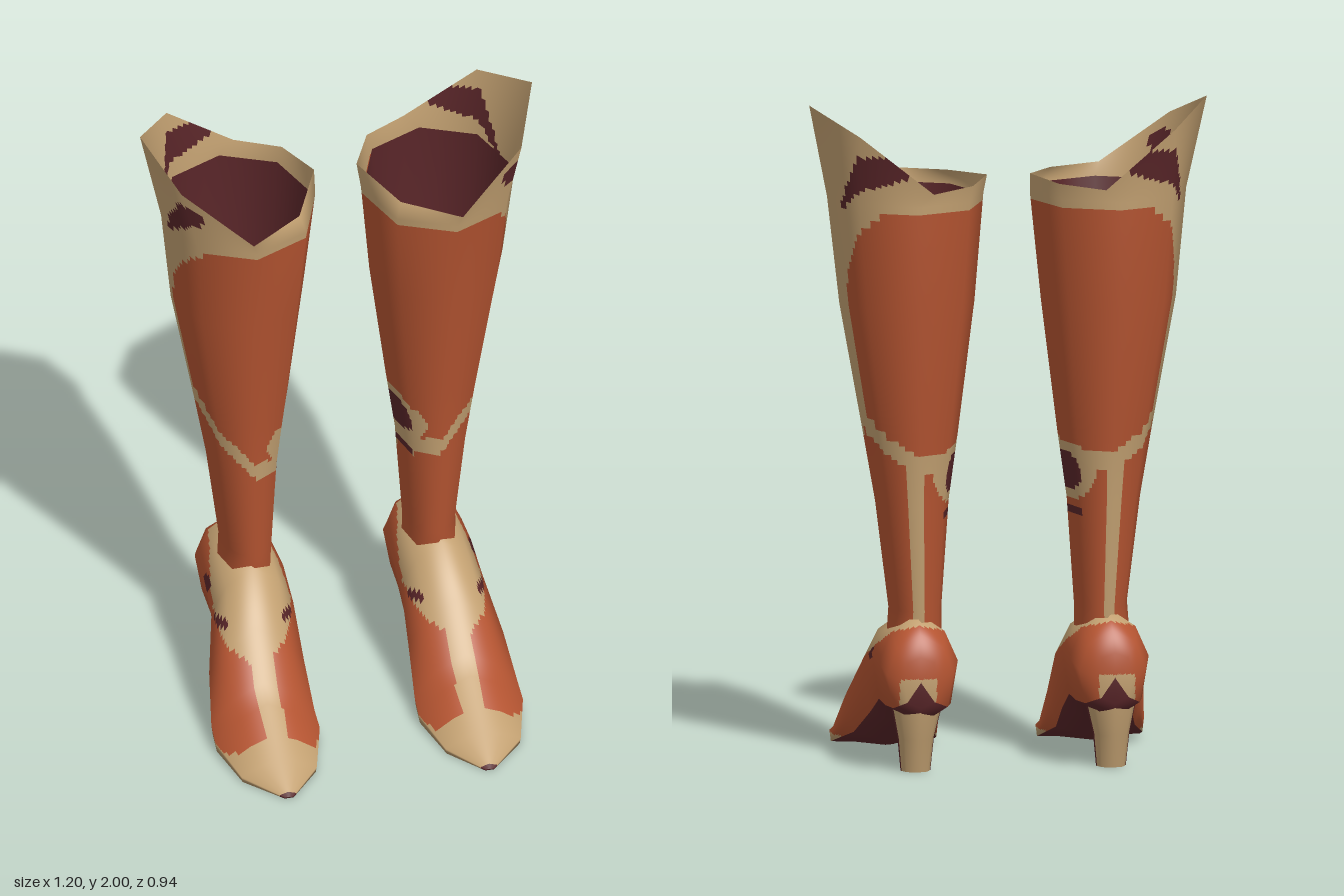
import * as THREE from 'three';

const leather = new THREE.MeshStandardMaterial({ color: 0xb45431, side: THREE.DoubleSide });
const trim = new THREE.MeshStandardMaterial({ color: 0xc2a071, side: THREE.DoubleSide });
const lining = new THREE.MeshStandardMaterial({ color: 0x582528, side: THREE.DoubleSide });
leather.name = 'leather'; trim.name = 'trim'; lining.name = 'lining';
const MATS = [leather, trim, lining];
const LEATHER = 0, TRIM = 1, DARK = 2;
const V = (x, y, z) => new THREE.Vector3(x, y, z);

// Octagonal ring around the y axis: outer side first, then front, inner side, back
function ring(y, x0, x1, z0, z1) {
  return Array.from({ length: 8 }, (_, k) => {
    const a = k * Math.PI / 4;
    return V((x0 + x1) / 2 + (x1 - x0) / 2 * Math.cos(a), y, (z0 + z1) / 2 + (z1 - z0) / 2 * Math.sin(a));
  });
}

function shrink(pts, s, y = null) {
  const c = pts.reduce((m, p) => m.addScaledVector(p, 1 / pts.length), V(0, 0, 0));
  return pts.map(p => {
    const q = p.clone().sub(c).multiplyScalar(s).add(c);
    if (y !== null) q.y = y;
    return q;
  });
}

// Lofts closed rings with smooth normals; paint(p, u) picks a colour for each small cell
function skin(name, rings, side, paint, nu, nv, flip = 1) {
  const R = rings.length, K = rings[0].length;
  const at = (r, k) => rings[Math.min(R - 1, Math.max(0, r))][(k + K) % K];
  const normals = rings.map((row, r) => row.map((_, k) => {
    const du = at(r, k + 1).clone().sub(at(r, k - 1));
    const dv = at(r + 1, k).clone().sub(at(r - 1, k));
    return dv.cross(du).normalize().multiplyScalar(flip);
  }));
  const W = K * nu, H = (R - 1) * nv, grid = [], pos = [], nor = [];
  const mix = (tab, r, k, s, t) => {
    const k2 = (k + 1) % K, r2 = Math.min(r + 1, R - 1);
    return tab[r][k].clone().lerp(tab[r][k2], s).lerp(tab[r2][k].clone().lerp(tab[r2][k2], s), t);
  };
  for (let j = 0; j <= H; j++) for (let i = 0; i <= W; i++) {
    const r = Math.floor(j / nv), k = Math.floor(i / nu) % K, s = (i % nu) / nu, t = (j % nv) / nv;
    const p = mix(rings, r, k, s, t), n = mix(normals, r, k, s, t).normalize();
    grid.push(p);
    pos.push(p.x * side, p.y, p.z);
    nor.push(n.x * side, n.y, n.z);
  }
  const lists = [[], [], []];
  for (let j = 0; j < H; j++) for (let i = 0; i < W; i++) {
    const a = j * (W + 1) + i, b = a + 1, c = a + W + 1, d = c + 1;
    const mid = grid[a].clone().add(grid[d]).multiplyScalar(0.5);
    const out = lists[paint(mid, (i + 0.5) / nu, (j + 0.5) / nv)];
    if (side * flip > 0) out.push(a, c, b, b, c, d);
    else out.push(a, b, c, b, d, c);
  }
  const g = new THREE.BufferGeometry();
  g.setAttribute('position', new THREE.Float32BufferAttribute(pos, 3));
  g.setAttribute('normal', new THREE.Float32BufferAttribute(nor, 3));
  g.setIndex(lists.flat());
  let start = 0;
  lists.forEach((l, m) => { if (l.length) g.addGroup(start, l.length, m); start += l.length; });
  const mesh = new THREE.Mesh(g, MATS);
  mesh.name = name;
  return mesh;
}

// Height of the trim strap around the calf, by angle (0 outer, 90 front, -90 back)
const STRAP = [[-180, 0.95], [-90, 0.92], [-5, 1.05], [40, 0.94], [90, 0.82], [180, 0.77]];
function strapHeight(a) {
  for (let i = 1; i < STRAP.length; i++) if (a <= STRAP[i][0]) {
    const [a0, y0] = STRAP[i - 1], [a1, y1] = STRAP[i];
    return y0 + (y1 - y0) * (a - a0) / (a1 - a0);
  }
  return STRAP[0][1];
}

function paintShaft(p, u) {
  let a = u * 45;
  if (a > 180) a -= 360;
  const y = p.y;
  // Two slanted drops on the cuff
  const d = Math.abs(p.z + 0.235), t = Math.min(1, Math.max(0, ((d - 0.065) * 0.125 + (y - 1.71) * 0.12) / 0.03));
  if (Math.abs(a) < 75 && Math.hypot(d - 0.065 - 0.125 * t, y - 1.71 - 0.12 * t) < 0.012 + 0.028 * t) return DARK;
  if (y > 1.705) return TRIM;
  // Outer seam widening to the cuff
  const f = Math.max(0, (y - 1.42) / 0.28);
  if (y > 1.03 && Math.abs(a + 5) < 10 + 48 * f * f) return TRIM;
  // Inner patch with its border
  const e = Math.hypot((180 - Math.abs(a)) / 46, (y - 0.885) / 0.062);
  if (e < 1) return DARK;
  if (e < 1.45) return TRIM;
  if (Math.abs(a) > 140 && y > 0.755 && y < 0.785) return DARK;
  if (Math.abs(y - strapHeight(a)) < 0.03) return TRIM;
  if (y < 0.92 && Math.abs(a + 86) < 13) return TRIM;
  return LEATHER;
}

function paintFoot(p, u) {
  const { y, z } = p, off = Math.abs(p.x - 0.3);
  if (u > 1 && u < 3) return DARK;
  if (z > 0.452) return DARK;
  // Specks on the ankle edge
  if (u > 4.3 || u < 0.3) {
    if (Math.hypot((z + 0.04) / 0.035, (y - 0.3) / 0.014) < 1) return DARK;
    if (Math.hypot((z + 0.19) / 0.035, (y - 0.335) / 0.018) < 1) return DARK;
  }
  if (y > 0.27 - 0.45 * z && z < 0.12) return TRIM;
  // Toe, ridge and welt
  if (z > 0.29 - 4 * (off - 0.075) ** 2) return TRIM;
  if (z > -0.02 && off < 0.035) return TRIM;
  if (z > -0.03 && y < 0.035) return TRIM;
  if (z < -0.37 && off < 0.055 && y < 0.29) return TRIM;
  return LEATHER;
}

// Foot sections: z, centre x, half width, keel y, sole edge y, widest y, upper y, upper half width, top y
const FOOT = [
  [-0.43, 0.293, 0.05, 0.20, 0.22, 0.28, 0.34, 0.04, 0.355],
  [-0.40, 0.290, 0.10, 0.15, 0.20, 0.30, 0.38, 0.07, 0.42],
  [-0.34, 0.288, 0.12, 0.14, 0.20, 0.33, 0.42, 0.08, 0.475],
  [-0.22, 0.287, 0.122, 0.15, 0.20, 0.34, 0.41, 0.08, 0.46],
  [-0.09, 0.290, 0.125, 0.09, 0.14, 0.30, 0.39, 0.08, 0.445],
  [0.03, 0.305, 0.145, 0.02, 0.06, 0.17, 0.26, 0.085, 0.31],
  [0.14, 0.311, 0.158, 0, 0.02, 0.06, 0.14, 0.09, 0.19],
  [0.20, 0.311, 0.16, 0, 0.005, 0.04, 0.11, 0.085, 0.155],
  [0.36, 0.312, 0.115, 0, 0, 0.02, 0.045, 0.06, 0.063],
  [0.468, 0.307, 0.014, 0, 0, 0.004, 0.006, 0.006, 0.008],
];

function boot(side) {
  const g = new THREE.Group();
  g.name = side > 0 ? 'leftBoot' : 'rightBoot';

  // Shaft with the pointed outer cuff
  const tube = [
    ring(0.41, 0.20, 0.365, -0.36, -0.10),
    ring(0.48, 0.20, 0.36, -0.365, -0.09),
    ring(0.80, 0.178, 0.40, -0.385, -0.07),
    ring(1.00, 0.15, 0.435, -0.40, -0.05),
    ring(1.40, 0.10, 0.508, -0.455, 0.0),
    ring(1.72, 0.07, 0.542, -0.465, 0.05),
  ];
  const rim = [
    V(0.60, 2.0, -0.235), V(0.52, 1.92, -0.03), V(0.32, 1.76, 0.06), V(0.155, 1.765, -0.05),
    V(0.065, 1.78, -0.245), V(0.13, 1.77, -0.39), V(0.26, 1.76, -0.47), V(0.475, 1.93, -0.425),
  ];
  g.add(skin('shaft', [...tube, rim], side, paintShaft, 12, 14));

  // Dark inside of the shaft
  const inner = tube.slice(1).map(r => shrink(r, 0.965));
  const floor = shrink(inner[0], 0.02);
  g.add(skin('shaftLining', [floor, ...inner], side, () => DARK, 3, 2, -1));

  // Foot, closed at heel and toe
  const rows = FOOT.map(([z, c, w, yb, ye, ym, yu, wu, yt]) => {
    const we = w * (z > 0.1 ? 0.97 : 0.82);
    return [V(c + w, ym, z), V(c + we, ye, z), V(c, yb, z), V(c - we, ye, z),
      V(c - w, ym, z), V(c - wu, yu, z), V(c, yt, z), V(c + wu, yu, z)];
  });
  g.add(skin('foot', [shrink(rows[0], 0.02), ...rows, shrink(rows[rows.length - 1], 0.02)], side, paintFoot, 10, 9));

  // Heel, trimmed at the back
  g.add(skin('heel', [
    ring(0, 0.25, 0.34, -0.378, -0.29),
    ring(0.10, 0.24, 0.35, -0.402, -0.277),
    ring(0.20, 0.215, 0.37, -0.425, -0.262),
    ring(0.27, 0.20, 0.38, -0.428, -0.25),
  ], side, (p, u) => (Math.sin(u * Math.PI / 4) < -0.15 ? TRIM : DARK), 6, 4));
  const tip = new THREE.Mesh(new THREE.CylinderGeometry(1, 1, 0.008, 8), lining);
  tip.name = 'heelTip';
  tip.scale.set(0.045, 1, 0.044);
  tip.position.set(side * 0.295, 0.004, -0.334);
  g.add(tip);
  return g;
}

export function createModel() {
  const model = new THREE.Group();
  model.name = 'pairOfBoots';
  for (const side of [1, -1]) model.add(boot(side));
  return model;
}
